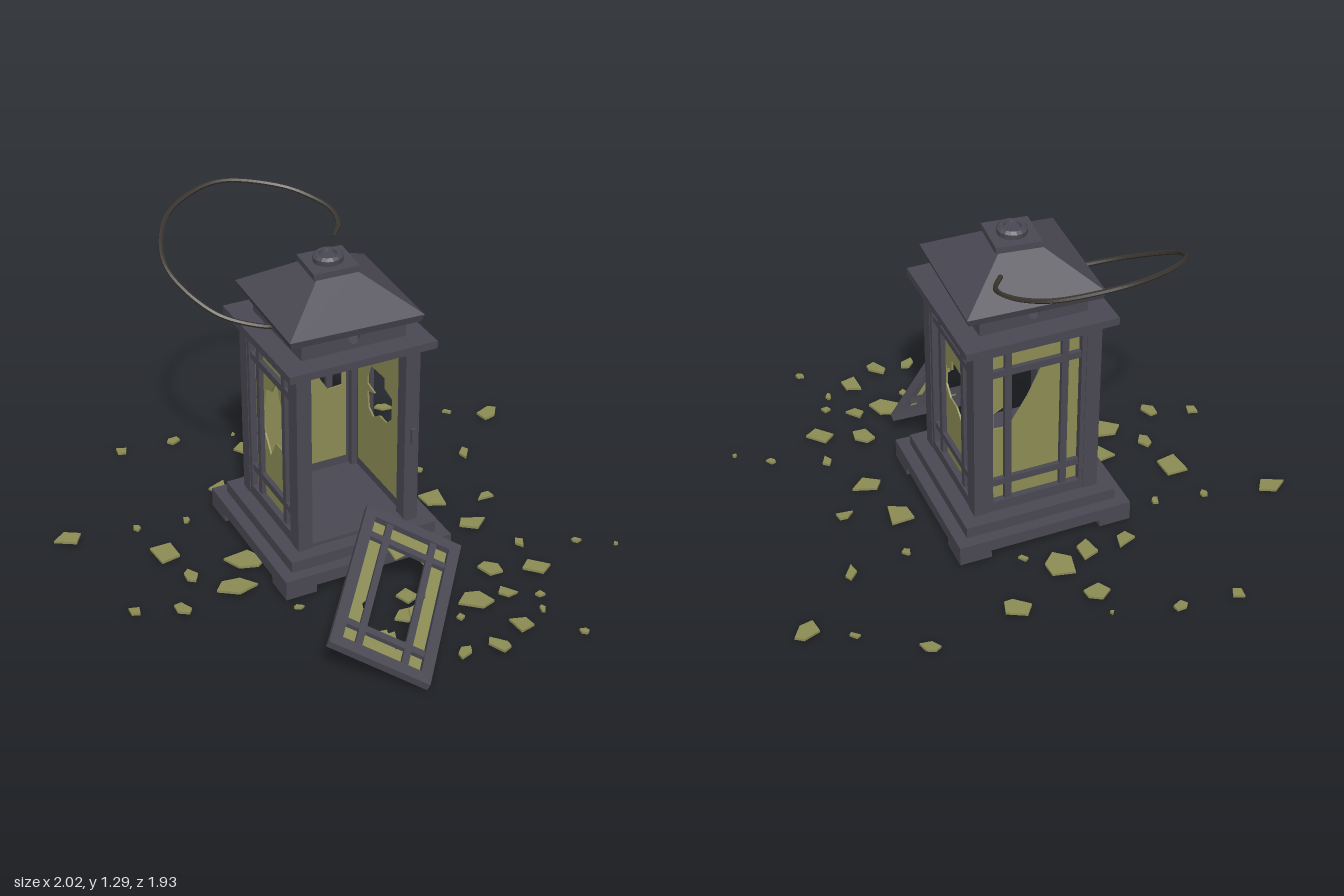
import * as THREE from 'three';

const mat = (color) => new THREE.MeshStandardMaterial({ color, flatShading: true, side: THREE.DoubleSide });
const metal = mat(0x4a4852), glass = mat(0x8c8c55), wire = mat(0x3a352f);

function add(parent, name, geometry, material, x = 0, y = 0, z = 0) {
  const mesh = new THREE.Mesh(geometry, material);
  mesh.name = name;
  mesh.position.set(x, y, z);
  parent.add(mesh);
  return mesh;
}
const box = (parent, name, w, h, d, x, y, z) => add(parent, name, new THREE.BoxGeometry(w, h, d), metal, x, y, z);

// Square block or frustum given by its bottom and top widths
function frustum(parent, name, bottom, top, y0, y1) {
  const g = new THREE.CylinderGeometry(top / Math.SQRT2, bottom / Math.SQRT2, y1 - y0, 4);
  g.rotateY(Math.PI / 4);
  return add(parent, name, g, metal, 0, (y0 + y1) / 2, 0);
}

const polygon = (points) => points.map(([x, y]) => new THREE.Vector2(x, y));
const rect = (w, h) => polygon([[-w / 2, -h / 2], [w / 2, -h / 2], [w / 2, h / 2], [-w / 2, h / 2]]);

// Flat plate with one hole, centred on z = 0
function plate(outer, hole, depth) {
  const shape = new THREE.Shape(outer);
  shape.holes.push(new THREE.Path(hole));
  const g = new THREE.ExtrudeGeometry(shape, { depth, bevelEnabled: false, curveSegments: 12 });
  return g.translate(0, 0, -depth / 2);
}

// Framed window facing +z: frame, crossing bars and a broken pane behind them
function windowPanel(name, w, h, openW, openH, hole) {
  const panel = new THREE.Group();
  panel.name = name;
  add(panel, 'windowFrame', plate(rect(w, h), rect(openW, openH), 0.03), metal);
  for (const s of [-1, 1]) {
    box(panel, 'verticalBar', 0.026, openH, 0.018, s * (openW / 2 - 0.062), 0, 0);
    box(panel, 'horizontalBar', openW, 0.028, 0.018, 0, s * (openH / 2 - 0.085), 0);
  }
  add(panel, 'brokenPane', plate(rect(openW + 0.01, openH + 0.01), polygon(hole), 0.007), glass, 0, 0, -0.014);
  return panel;
}

// Break outlines, relative to the pane centre
const rightHole = [[-0.04, 0.14], [0.08, 0.135], [0.1, 0.08], [0.1, 0.043], [0.04, 0.03], [0.1, 0.01], [0.09, -0.06],
  [0.05, -0.08], [0, -0.047], [-0.06, -0.047], [-0.1, -0.007], [-0.1, 0.08], [-0.04, 0.095]];
const leftHole = [[0.05, 0.14], [0.01, 0.23], [-0.03, 0.16], [-0.09, 0.14], [-0.11, 0.05], [-0.1, -0.06],
  [-0.05, -0.13], [0, -0.05], [0.06, -0.05], [0.11, -0.007], [0.1, 0.08]];
const backHole = [[0.027, 0.22], [-0.01, 0.237], [-0.113, 0.243], [-0.09, 0.18], [-0.101, 0.09], [-0.16, 0.06],
  [-0.16, -0.01], [-0.1, -0.015], [-0.03, 0.1]];
const doorHole = [[-0.09, -0.2], [-0.02, -0.24], [0.03, -0.17], [0.08, -0.22], [0.1, -0.06], [0.07, 0.02], [0.11, 0.1],
  [0.06, 0.22], [0, 0.17], [-0.05, 0.24], [-0.1, 0.13], [-0.06, 0.03], [-0.11, -0.05]];

function buildLantern() {
  const lantern = new THREE.Group();
  lantern.name = 'lantern';

  // Stepped base on four feet
  for (const x of [-1, 1]) for (const z of [-1, 1]) {
    box(lantern, 'foot', 0.125, 0.035, 0.125, x * 0.2825, 0.042, z * 0.2825);
    box(lantern, 'cornerPost', 0.058, 0.76, 0.058, x * 0.219, 0.528, z * 0.219);
  }
  box(lantern, 'baseSlab', 0.69, 0.05, 0.69, 0, 0.08, 0);
  box(lantern, 'baseStep', 0.6, 0.045, 0.6, 0, 0.1275, 0);

  // Three glazed sides; the front is open
  [[Math.PI / 2, rightHole, 'rightWindow'], [Math.PI, backHole, 'backWindow'], [-Math.PI / 2, leftHole, 'leftWindow']]
    .forEach(([angle, hole, name]) => {
      const panel = windowPanel(name, 0.385, 0.755, 0.345, 0.665, hole);
      panel.rotation.y = angle;
      panel.position.set(Math.sin(angle) * 0.23, 0.5255, Math.cos(angle) * 0.23);
      lantern.add(panel);
    });
  box(lantern, 'doorHeader', 0.385, 0.03, 0.045, 0, 0.89, 0.219);
  box(lantern, 'doorSill', 0.385, 0.014, 0.045, 0, 0.157, 0.219);
  box(lantern, 'doorLatch', 0.018, 0.06, 0.016, 0.222, 0.53, 0.254);

  // Top plate and hollow vented neck
  box(lantern, 'topPlate', 0.585, 0.03, 0.585, 0, 0.92, 0);
  const vent = new THREE.Path().absarc(0, 0, 0.022, 0, Math.PI * 2).getPoints(12);
  for (let i = 0; i < 4; i++) {
    const a = i * Math.PI / 2;
    const wall = add(lantern, 'neckWall', plate(rect(0.415, 0.085), vent, 0.015), metal,
      Math.sin(a) * 0.2, 0.975, Math.cos(a) * 0.2);
    wall.rotation.y = a;
  }

  // Roof, knocked slightly askew
  const roof = new THREE.Group();
  roof.name = 'roof';
  roof.rotation.y = -0.04;
  lantern.add(roof);
  frustum(roof, 'eave', 0.5, 0.52, 1.012, 1.042);
  frustum(roof, 'roofSlope', 0.52, 0.16, 1.042, 1.168);
  const cap = new THREE.Group();
  cap.name = 'roofCap';
  cap.rotation.set(0, -0.04, 0.03);
  roof.add(cap);
  frustum(cap, 'capPlate', 0.175, 0.175, 1.168, 1.192).position.x = 0.035;
  const knob = [[0, 1.19], [0.055, 1.19], [0.057, 1.212], [0.046, 1.222], [0.033, 1.222], [0.03, 1.21], [0, 1.21]];
  add(cap, 'knob', new THREE.LatheGeometry(polygon(knob), 16), metal, 0.035, 0, 0);

  lantern.position.set(-0.018, 0, -0.063);
  lantern.rotation.y = -0.03;
  return lantern;
}

// Detached door leaning on the base
function buildDoor() {
  const door = windowPanel('fallenDoor', 0.385, 0.705, 0.3, 0.615, doorHole);
  const x = new THREE.Vector3(-0.289, 0.156, -0.211).normalize();
  const z = x.clone().cross(new THREE.Vector3(-0.487, -0.08, 0.511)).normalize();
  const y = z.clone().cross(x);
  door.quaternion.setFromRotationMatrix(new THREE.Matrix4().makeBasis(x, y, z));
  door.position.set(-0.08, 0.15, 0.57);
  return door;
}

// Glass pieces on the ground: x, z, radius
const shardSpots = [
  [-0.52, -0.95, 3], [-0.3, -0.92, 3], [-0.06, -0.85, 1], [-0.06, -0.73, 5], [0.24, -0.69, 6], [0.6, -0.74, 4],
  [-0.94, -0.47, 6], [-0.68, -0.41, 2], [-0.28, -0.52, 5], [-0.13, -0.51, 7], [0, -0.55, 7], [0.11, -0.46, 2],
  [0.82, -0.58, 2], [0.965, -0.49, 6], [-0.49, -0.37, 2], [-0.65, -0.21, 7], [-0.62, -0.03, 4], [-0.4, -0.03, 8],
  [-0.5, 0.11, 8], [-0.73, 0.14, 4], [-0.89, 0.07, 3], [0.49, -0.25, 2], [0.72, -0.27, 4], [0.44, -0.05, 7],
  [0.63, 0.04, 4], [0.49, 0.17, 6], [0.58, 0.37, 3], [0.39, 0.46, 5], [0.55, 0.53, 6], [0.78, 0.46, 2],
  [0.9, 0.55, 1], [0.24, 0.6, 7], [0.37, 0.61, 4], [0.47, 0.68, 2], [0.31, 0.8, 5], [0.43, 0.76, 2],
  [0.05, 0.84, 4], [0.18, 0.86, 5], [0.49, 0.94, 2], [-0.35, 0.33, 2], [-0.02, 0.56, 6], [-0.16, 0.64, 5],
  [0.03, 0.46, 5], [0.14, 0.66, 2],
];

function buildShards() {
  const shards = new THREE.Group();
  shards.name = 'glassShards';
  let seed = 7;
  const rand = () => (seed = (seed * 16807) % 2147483647) / 2147483647;
  for (const [x, z, size] of shardSpots) {
    const r = size / 100, sides = 4 + Math.floor(rand() * 2), squash = 0.55 + rand() * 0.3;
    const points = [];
    for (let i = 0; i < sides; i++) {
      const a = (i + rand() * 0.6) / sides * Math.PI * 2;
      points.push([Math.cos(a) * r, Math.sin(a) * r * squash]);
    }
    const g = new THREE.ExtrudeGeometry(new THREE.Shape(polygon(points)), { depth: 0.01, bevelEnabled: false });
    g.rotateX(-Math.PI / 2);
    const shard = add(shards, 'shard', g, glass, x, 0.022, z);
    shard.rotation.set((rand() - 0.5) * 0.06, rand() * Math.PI * 2, (rand() - 0.5) * 0.06);
  }
  return shards;
}

export function createModel() {
  const model = new THREE.Group();
  model.name = 'brokenLantern';
  model.add(buildLantern(), buildDoor(), buildShards());

  // Bent wire handle, loose at one end
  const path = [[-0.22, 0.975, -0.065], [-0.28, 0.985, -0.075], [-0.425, 1.035, -0.16], [-0.52, 1.15, -0.36], [-0.45, 1.24, -0.53],
    [-0.32, 1.278, -0.62], [-0.16, 1.29, -0.655], [0.056, 1.25, -0.585], [0.14, 1.222, -0.5], [0.178, 1.2, -0.41],
    [0.165, 1.175, -0.33], [0.12, 1.172, -0.275]];
  const curve = new THREE.CatmullRomCurve3(path.map((p) => new THREE.Vector3(...p)));
  add(model, 'wireHandle', new THREE.TubeGeometry(curve, 80, 0.009, 6), wire);
  return model;
}
